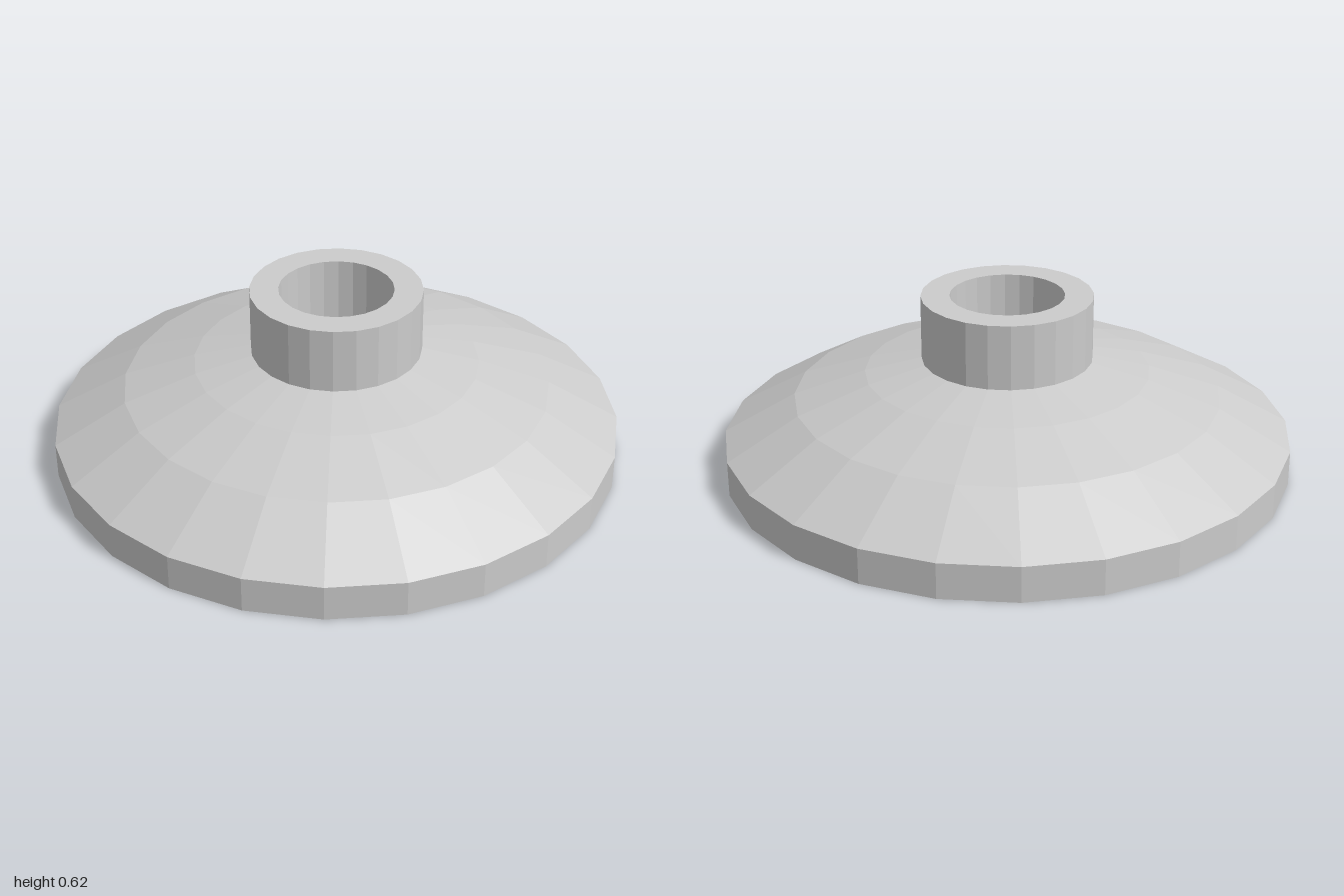
import * as THREE from 'three';

const SIDES = 24;
const material = new THREE.MeshStandardMaterial({ color: 0xcccccc, flatShading: true });

// Faceted turned part; profile runs counter-clockwise so faces point outwards
function turned(name, profile) {
  const points = profile.map(([r, y]) => new THREE.Vector2(r, y));
  const mesh = new THREE.Mesh(new THREE.LatheGeometry(points, SIDES), material);
  mesh.name = name;
  return mesh;
}

export function createModel() {
  const model = new THREE.Group();
  model.name = 'flangedHub';

  model.add(
    // Domed flange: hollow cone below, straight rim, curved top
    turned('flange', [[0.4, 0.25], [0.5, 0.25], [1, 0], [1, 0.125], [0.75, 0.265], [0.5, 0.35], [0.3, 0.396]]),
    // Neck above the dome with its narrow bore
    turned('neck', [[0.3, 0.396], [0.3, 0.625], [0.2, 0.625], [0.2, 0.25]]),
    // Collar under the dome with its wider, stepped bore
    turned('lowerCollar', [[0.2, 0.25], [0.3, 0.25], [0.3, 0], [0.4, 0], [0.4, 0.25]])
  );

  return model;
}
